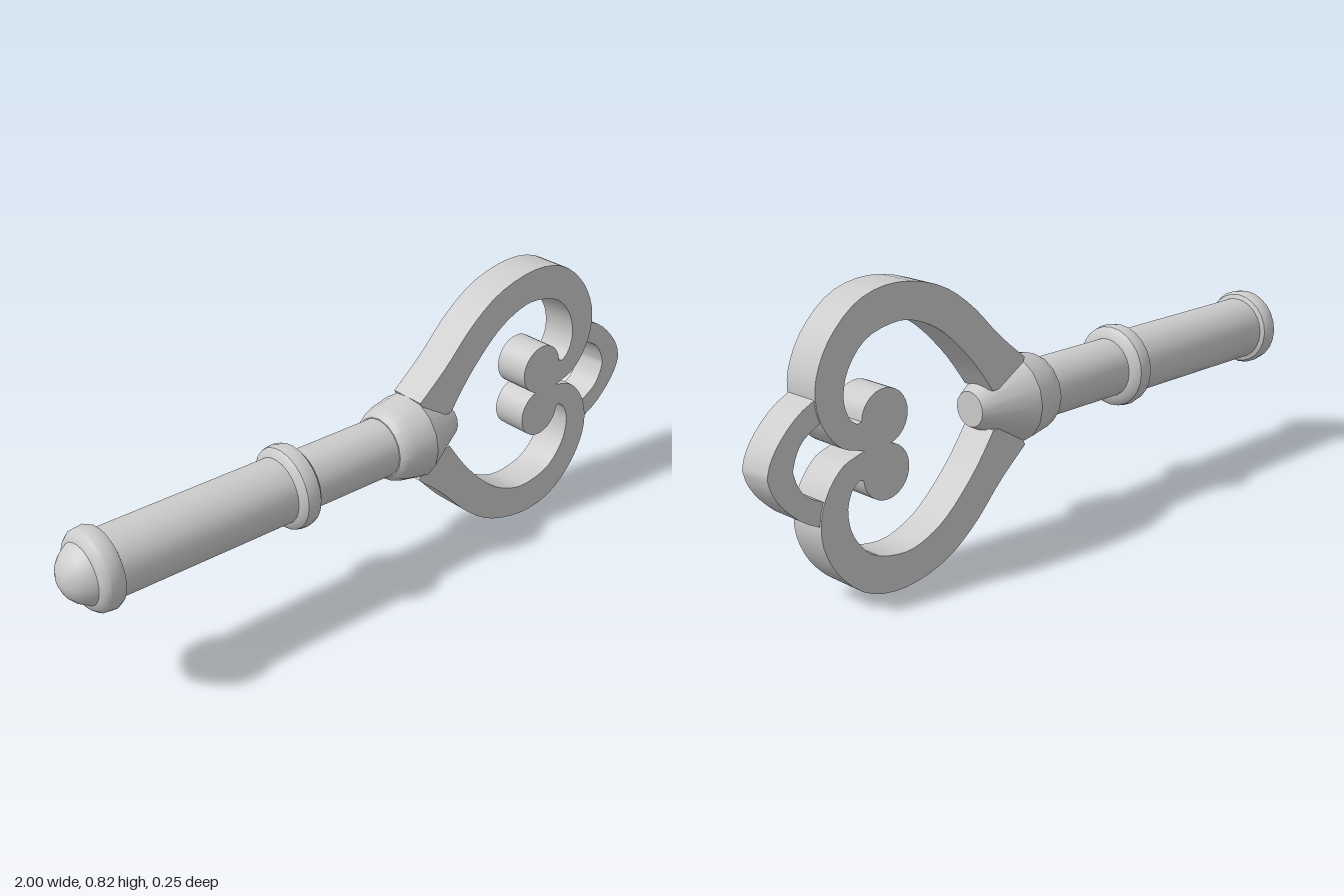
import * as THREE from 'three';
import { toCreasedNormals } from 'three/addons/utils/BufferGeometryUtils.js';

const AXIS = 0.41; // height of the key's long axis

export function createModel() {
  const group = new THREE.Group();
  const material = new THREE.MeshStandardMaterial({ color: 0xcccccc });

  const add = (name, geometry, crease = 0.6) => {
    const mesh = new THREE.Mesh(toCreasedNormals(geometry, crease), material);
    mesh.name = name;
    mesh.position.y = AXIS;
    group.add(mesh);
    return mesh;
  };

  // Turned part along x, profile given as [x, radius]
  const turned = (name, profile, segments) => {
    const pts = profile.map(([x, r]) => new THREE.Vector2(r, x));
    return add(name, new THREE.LatheGeometry(pts, segments).rotateZ(-Math.PI / 2));
  };

  const curve = (points, n) =>
    new THREE.SplineCurve(points.map(([x, y]) => new THREE.Vector2(x, y))).getPoints(n);

  // Flat plate from an outline, centred on z = 0
  const plate = (name, outline, depth) => {
    const geometry = new THREE.ExtrudeGeometry(new THREE.Shape(outline), { depth, bevelEnabled: false });
    return add(name, geometry.translate(0, 0, -depth / 2));
  };

  const mirror = (outline) => outline.map((p) => new THREE.Vector2(p.x, -p.y));

  // Shaft and its collars
  turned('shaft', [[-0.92, 0], [-0.92, 0.095], [-0.28, 0.095], [-0.28, 0.086], [0.08, 0.086], [0.08, 0]], 24);
  turned('endCap', [[-1, 0], [-0.997, 0.025], [-0.985, 0.05], [-0.965, 0.07], [-0.94, 0.085],
    [-0.935, 0.1], [-0.92, 0.112], [-0.89, 0.115], [-0.875, 0.108], [-0.868, 0.093], [-0.868, 0]], 24);
  turned('middleCollar', [[-0.328, 0.08], [-0.325, 0.1], [-0.31, 0.118], [-0.29, 0.122],
    [-0.268, 0.118], [-0.253, 0.1], [-0.25, 0.08]], 24);
  turned('socket', [[0.04, 0], [0.04, 0.09], [0.052, 0.104], [0.08, 0.114], [0.15, 0.127],
    [0.3, 0.05], [0.3, 0]], 16);

  // Scrolled half of the bow: outer sweep, round lobe, inner sweep
  const outer = curve([[0.145, 0.125], [0.24, 0.205], [0.34, 0.305], [0.45, 0.377], [0.59, 0.408], [0.71, 0.385],
    [0.80, 0.31], [0.847, 0.22], [0.85, 0.14], [0.825, 0.075], [0.78, 0.025], [0.73, 0.006]], 36);
  const lobe = [];
  for (let i = 0; i <= 20; i++) {
    const a = THREE.MathUtils.lerp(-1.75, -2 * Math.PI + 0.06, i / 20);
    lobe.push(new THREE.Vector2(0.64 + 0.075 * Math.cos(a), 0.073 + 0.075 * Math.sin(a)));
  }
  const inner = curve([[0.728, 0.074], [0.753, 0.096], [0.768, 0.15], [0.75, 0.22], [0.69, 0.285], [0.59, 0.309],
    [0.51, 0.292], [0.43, 0.245], [0.335, 0.15], [0.265, 0.055]], 30);
  const scroll = [...outer, new THREE.Vector2(0.70, -0.002), ...lobe, ...inner, new THREE.Vector2(0.18, 0.06)];
  plate('upperScroll', scroll, 0.11);
  plate('lowerScroll', mirror(scroll), 0.11);

  // Pointed loop at the far end, bridging both scrolls
  const tipOuter = curve([[0.84, 0.168], [0.9, 0.138], [0.955, 0.088], [0.988, 0.04], [1, 0]], 10);
  const tipInner = curve([[0.925, 0], [0.912, 0.04], [0.885, 0.075], [0.83, 0.105]], 8);
  const tip = [
    ...tipOuter,
    ...mirror(tipOuter).reverse().slice(1),
    ...mirror(tipInner).reverse(),
    ...tipInner.slice(1),
  ];
  plate('tipLoop', tip, 0.1);

  return group;
}
